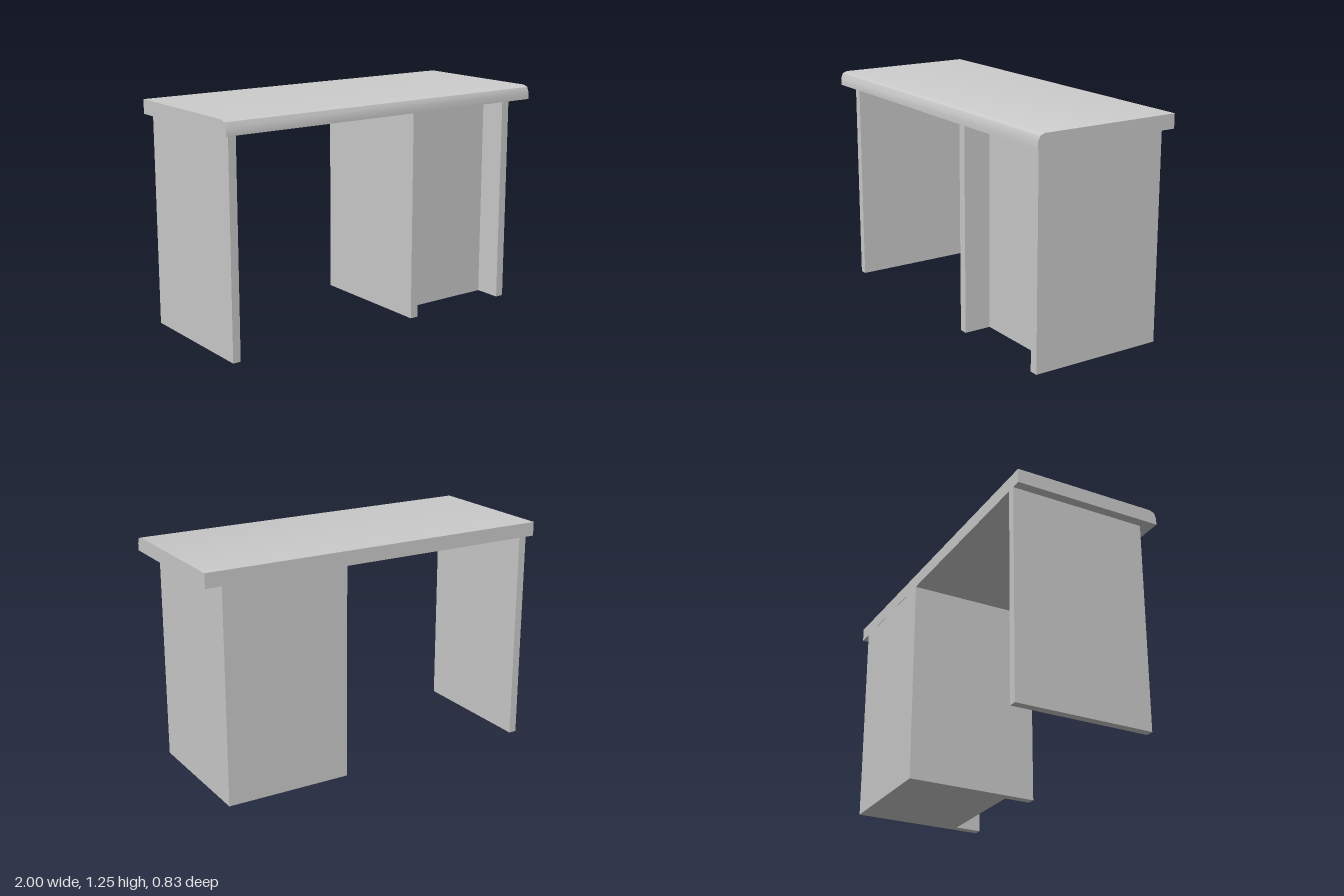
import * as THREE from 'three';
import { toCreasedNormals } from 'three/addons/utils/BufferGeometryUtils.js';

const material = new THREE.MeshStandardMaterial({ color: 0xcccccc });

const TOP = 1.25, UNDER = 1.172;      // desktop upper and lower heights
const BACK = -0.416, FRONT = 0.348;   // depth of the supports
const HALF_DEPTH = 0.417;

function extrude(points, depth) {
  const shape = new THREE.Shape(points.map(([x, y]) => new THREE.Vector2(x, y)));
  return new THREE.ExtrudeGeometry(shape, { depth, bevelEnabled: false });
}

function part(name, geometry) {
  const mesh = new THREE.Mesh(geometry, material);
  mesh.name = name;
  return mesh;
}

export function createModel() {
  const group = new THREE.Group();
  group.name = 'desk';

  // Desktop: side profile (z, y) with a rounded front edge, run along x
  const top = extrude([
    [-HALF_DEPTH, UNDER], [HALF_DEPTH, UNDER], [HALF_DEPTH, 1.21],
    [0.405, 1.24], [0.377, TOP], [-HALF_DEPTH, TOP],
  ], 2);
  top.translate(0, 0, -1).rotateY(-Math.PI / 2);
  group.add(part('desktop', toCreasedNormals(top, Math.PI / 6)));

  // Pedestal: U-shaped plan (x, -z), its front face set back between the side panels
  const x0 = 0.209, x1 = 0.911, wall = 0.048, recess = 0.193;
  const pedestal = extrude([
    [x0, -FRONT], [x0 + wall, -FRONT], [x0 + wall, -recess],
    [x1 - wall, -recess], [x1 - wall, -FRONT], [x1, -FRONT],
    [x1, -BACK], [x0, -BACK],
  ], UNDER);
  pedestal.rotateX(-Math.PI / 2);
  group.add(part('pedestal', pedestal));

  // Single panel leg at the other end
  const leg = part('panelLeg', new THREE.BoxGeometry(0.044, UNDER, FRONT - BACK));
  leg.position.set(-0.926, UNDER / 2, (FRONT + BACK) / 2);
  group.add(leg);

  return group;
}
